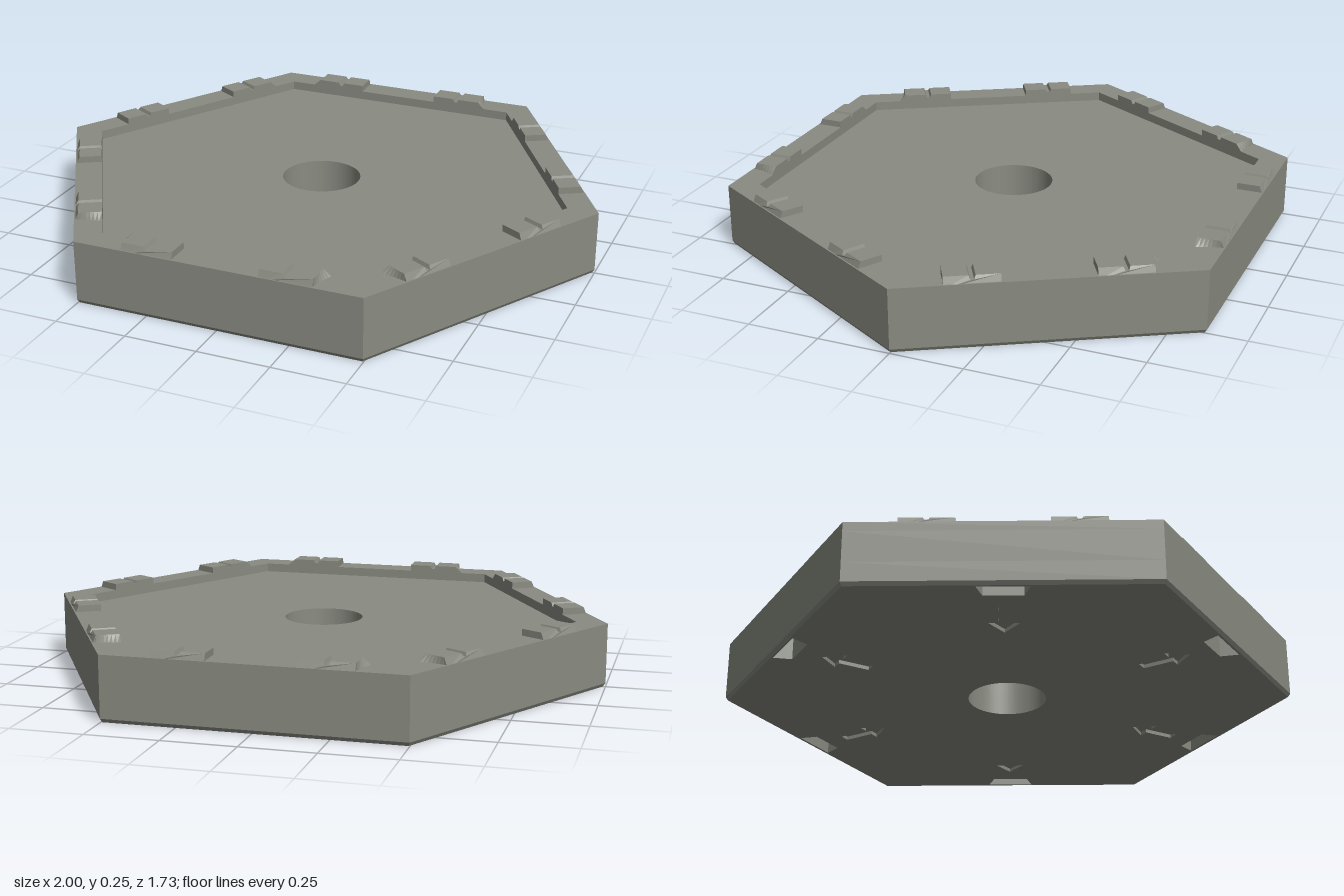
import * as THREE from 'three';

const AP = Math.sqrt(3) / 2; // distance from centre to a side of the unit hexagon
const INNER = 0.773; // distance from centre to a side of the recess
const FLOOR = 0.19, RIM = 0.222, TOP = 0.245;

const stone = new THREE.MeshStandardMaterial({ color: 0x8a8c82 });
stone.name = 'stoneGrey';

const hexPoints = (r) => Array.from({ length: 6 }, (_, i) =>
  new THREE.Vector2(Math.cos(i * Math.PI / 3) * r, Math.sin(i * Math.PI / 3) * r));

// Turn a plan drawn for the front side to side k (x stays x, y becomes z)
const turned = (pts, k) => {
  const a = k * Math.PI / 3, c = Math.cos(a), s = Math.sin(a);
  return new THREE.Path(pts.map(([x, z]) => new THREE.Vector2(x * c + z * s, -x * s + z * c)));
};

const centreHole = () => new THREE.Path().absarc(0, 0, 0.137, 0, Math.PI * 2, true);

// Slot under each side
const slot = (k) => turned([[-0.065, 0.79], [0.065, 0.79], [0.085, 0.85], [-0.085, 0.85]], k);

// Engraved arrow, alternately pointing outward and inward
const arrow = (k) => {
  const d = k % 2 ? -1 : 1;
  const p = [[-0.018, -0.09], [0.018, -0.09], [0.018, 0.02], [0.052, 0.02],
    [0, 0.09], [-0.052, 0.02], [-0.018, 0.02]];
  return turned(p.map(([x, z]) => [x * d, 0.62 + z * d]), k);
};

// Horizontal hexagonal slab with holes
function slab(name, y0, y1, holes) {
  const shape = new THREE.Shape(hexPoints(1));
  shape.holes.push(...holes);
  const geo = new THREE.ExtrudeGeometry(shape, { depth: y1 - y0, bevelEnabled: false, curveSegments: 48 });
  geo.rotateX(Math.PI / 2).translate(0, y1, 0);
  const mesh = new THREE.Mesh(geo, stone);
  mesh.name = name;
  return mesh;
}

// Narrow the lower outer edge into a small chamfer
function chamferBase(geo) {
  const p = geo.attributes.position;
  for (let i = 0; i < p.count; i++) {
    if (p.getY(i) < 0.001 && Math.hypot(p.getX(i), p.getZ(i)) > 0.99) {
      p.setX(i, p.getX(i) * 0.991);
      p.setZ(i, p.getZ(i) * 0.991);
    }
  }
  geo.computeVertexNormals();
}

// Raised rim pad with a groove across it and a sloped outer face
function padGeometry() {
  const profile = [[-0.09, FLOOR + 0.02], [0.09, FLOOR + 0.02], [0.09, TOP], [0.011, TOP],
    [0.006, TOP - 0.012], [-0.006, TOP - 0.012], [-0.011, TOP], [-0.09, TOP]];
  const shape = new THREE.Shape(profile.map(([x, y]) => new THREE.Vector2(x, y)));
  const geo = new THREE.ExtrudeGeometry(shape, { depth: AP - INNER, bevelEnabled: false });
  geo.translate(0, 0, INNER);
  const p = geo.attributes.position;
  for (let i = 0; i < p.count; i++) {
    if (p.getZ(i) > AP - 0.001) {
      p.setZ(i, AP - Math.max(0, p.getY(i) - RIM) * 0.65);
    }
  }
  geo.computeVertexNormals();
  return geo;
}

// Curved ramp that widens from the outer edge toward the recess
function flareGeometry(side) {
  const shape = new THREE.Shape([new THREE.Vector2(0, RIM - 0.005),
    new THREE.Vector2(side, RIM - 0.005), new THREE.Vector2(0, TOP)]);
  const depth = AP - 0.015 - INNER;
  const geo = new THREE.ExtrudeGeometry(shape, { depth, steps: 6, bevelEnabled: false });
  const p = geo.attributes.position;
  for (let i = 0; i < p.count; i++) {
    const remaining = Math.max(0, 1 - p.getZ(i) / depth);
    p.setX(i, p.getX(i) * (0.003 + 0.029 * Math.pow(remaining, 1.5)));
  }
  geo.translate(side * 0.09, 0, INNER);
  geo.computeVertexNormals();
  return geo;
}

export function createModel() {
  const model = new THREE.Group();
  model.name = 'hexagonalTile';
  const sides = [0, 1, 2, 3, 4, 5];

  // Body in layers: engraved base, slotted layer, solid floor and raised rim
  const base = slab('engravedBase', 0, 0.013, [centreHole(), ...sides.map(slot), ...sides.map(arrow)]);
  chamferBase(base.geometry);
  model.add(base,
    slab('slottedLayer', 0.013, 0.08, [centreHole(), ...sides.map(slot)]),
    slab('floor', 0.08, FLOOR, [centreHole()]),
    slab('rim', FLOOR, RIM, [new THREE.Path(hexPoints(INNER / AP).reverse())]));

  // Two grooved pads on the rim of every side
  const pad = padGeometry();
  const flares = { '1': flareGeometry(1), '-1': flareGeometry(-1) };
  for (const k of sides) {
    const group = new THREE.Group();
    group.name = 'sidePads' + (k + 1);
    group.rotation.y = k * Math.PI / 3;
    for (const s of [-1, 1]) {
      const mesh = new THREE.Mesh(pad, stone);
      mesh.name = 'rimPad';
      mesh.position.x = s * 0.24;
      group.add(mesh);
      // Ramps only beside the four front and back corners
      if ((k * 60 + s * 30 + 360) % 180 !== 90) {
        const flare = new THREE.Mesh(flares[s], stone);
        flare.name = 'padRamp';
        flare.position.x = s * 0.24;
        group.add(flare);
      }
    }
    model.add(group);
  }
  return model;
}
